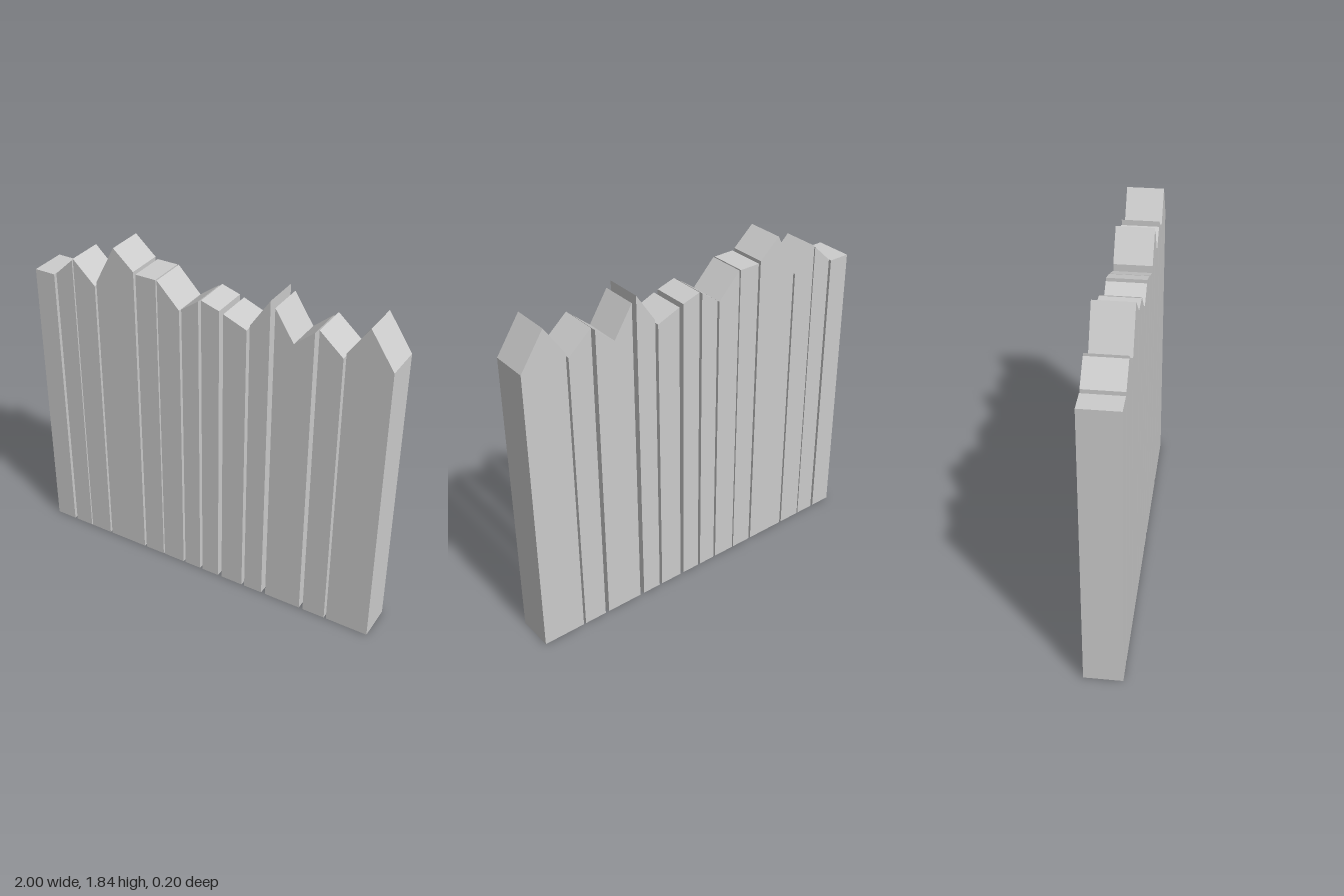
import * as THREE from 'three';

const DEPTH = 0.2;

// Top edge of each plank, from -x to +x, as [x, y] points
const PLANK_TOPS = [
  [[-1, 1.6], [-0.882, 1.6]],
  [[-0.866, 1.61], [-0.76, 1.71]],
  [[-0.753, 1.72], [-0.626, 1.6]],
  [[-0.614, 1.625], [-0.5, 1.84], [-0.387, 1.74]],
  [[-0.374, 1.73], [-0.258, 1.73]],
  [[-0.25, 1.73], [-0.125, 1.6]],
  [[-0.112, 1.61], [-0.016, 1.68]],
  [[0, 1.69], [0.1, 1.66]],
  [[0.123, 1.65], [0.25, 1.6]],
  [[0.267, 1.63], [0.373, 1.79]],
  [[0.398, 1.76], [0.5, 1.6], [0.604, 1.69]],
  [[0.626, 1.71], [0.752, 1.6]],
  [[0.765, 1.63], [0.873, 1.79], [1, 1.6]],
];

export function createModel() {
  const fence = new THREE.Group();
  fence.name = 'fence';
  const material = new THREE.MeshStandardMaterial({ color: 0xcccccc, flatShading: true });

  // Each plank is its outline extruded through the fence thickness
  PLANK_TOPS.forEach((top, i) => {
    const shape = new THREE.Shape();
    shape.moveTo(top[0][0], 0);
    shape.lineTo(top[top.length - 1][0], 0);
    [...top].reverse().forEach(([x, y]) => shape.lineTo(x, y));
    shape.closePath();

    const geometry = new THREE.ExtrudeGeometry(shape, { depth: DEPTH, bevelEnabled: false });
    geometry.translate(0, 0, -DEPTH / 2);
    const plank = new THREE.Mesh(geometry, material);
    plank.name = `plank${i + 1}`;
    fence.add(plank);
  });

  return fence;
}
